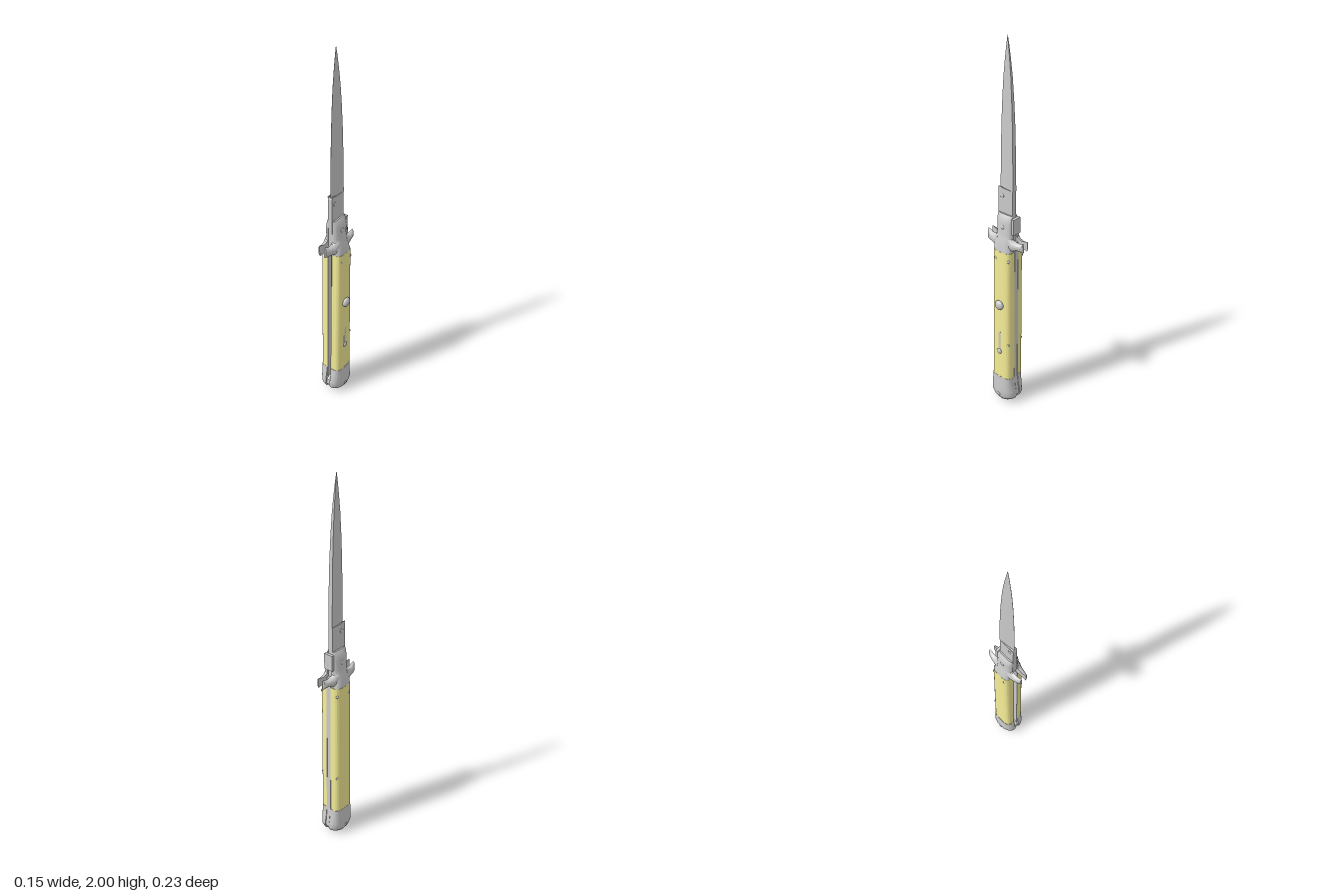
import * as THREE from 'three';
import { toCreasedNormals } from 'three/addons/utils/BufferGeometryUtils.js';

const STEEL = new THREE.MeshStandardMaterial({ color: 0xcccccc });
const IVORY = new THREE.MeshStandardMaterial({ color: 0xf7ef98 });
const GAP = 0.0135; // half width of the slot between the two handle halves

// Skin a list of closed rings and cap both ends
function loft(rings, flip, crease = 0.6) {
  const n = rings[0].length, last = (rings.length - 1) * n, index = [];
  const tri = (a, b, c) => (flip ? index.push(a, c, b) : index.push(a, b, c));
  for (let i = 0; i < rings.length - 1; i++) {
    for (let j = 0; j < n; j++) {
      const a = i * n + j, b = i * n + ((j + 1) % n);
      tri(a, b, b + n);
      tri(a, b + n, a + n);
    }
  }
  for (let j = 1; j < n - 1; j++) {
    tri(0, j + 1, j);
    tri(last, last + j, last + j + 1);
  }
  const geo = new THREE.BufferGeometry();
  geo.setAttribute('position', new THREE.Float32BufferAttribute(rings.flat(2), 3));
  geo.setIndex(index);
  return toCreasedNormals(geo, crease);
}

// D-shaped half body; stations are [along, high, low, width, roundness]
function halfBody(side, stations, alongZ = false) {
  const N = 20;
  const rings = stations.map(([a, hi, lo, w, p]) => {
    const ring = [];
    for (let j = 0; j <= N; j++) {
      const c = Math.cos((j / N) * Math.PI), s = Math.max(0, Math.sin((j / N) * Math.PI));
      const v = (hi + lo) / 2 + ((hi - lo) / 2) * Math.sign(c) * Math.abs(c) ** (2 / p);
      const x = side * (GAP + (w - GAP) * s ** (2 / p));
      ring.push(alongZ ? [x, v, a] : [x, a, v]);
    }
    return ring;
  });
  const descending = stations[1][0] < stations[0][0];
  return loft(rings, (side < 0) !== (alongZ !== descending));
}

// Flat plate from a (z, y) outline, centred on x
function plate(points, thickness, x = 0) {
  const shape = new THREE.Shape(points.map(([z, y]) => new THREE.Vector2(z, y)));
  const geo = new THREE.ExtrudeGeometry(shape, { depth: thickness, bevelEnabled: false });
  return geo.translate(0, 0, -thickness / 2).rotateY(-Math.PI / 2).translate(x, 0, 0);
}

export function createModel() {
  const model = new THREE.Group();
  const body = new THREE.Group();
  body.name = 'knife';
  body.position.x = -0.0055;
  model.add(body);
  const add = (name, geo, mat = STEEL) => {
    const mesh = new THREE.Mesh(geo, mat);
    mesh.name = name;
    body.add(mesh);
    return mesh;
  };
  // Domed pin whose head stands out along x
  const pin = (name, x, y, z, r, bulge = 0.4) => {
    const mesh = add(name, new THREE.SphereGeometry(r, 16, 10));
    mesh.position.set(x, y, z);
    mesh.scale.x = bulge;
    return mesh;
  };

  const scale = [
    [0.17, 0.063, -0.06, 0.061, 3.8],
    [0.56, 0.058, -0.059, 0.061, 3.8],
    [0.95, 0.052, -0.058, 0.059, 3.8],
  ];
  const pommel = [
    [0, 0.02, -0.02, 0.035, 2],
    [0.01, 0.045, -0.045, 0.05, 2],
    [0.03, 0.07, -0.07, 0.063, 2.1],
    [0.05, 0.08, -0.078, 0.0675, 2.2],
    [0.08, 0.078, -0.073, 0.067, 2.5],
    [0.12, 0.071, -0.066, 0.064, 3],
    [0.17, 0.064, -0.061, 0.062, 3.8],
  ];
  const bolster = [
    [0.945, 0.052, -0.057, 0.059, 3.6],
    [0.98, 0.053, -0.052, 0.056, 3],
    [1.02, 0.05, -0.05, 0.045, 2.5],
    [1.045, 0.048, -0.05, 0.039, 2.4],
    [1.1, 0.048, -0.05, 0.039, 2.4],
    [1.13, 0.047, -0.048, 0.031, 2.4],
    [1.143, 0.045, -0.045, 0.022, 2.4],
  ];
  const frontArm = [
    [0.03, 1.045, 0.95, 0.046, 2.2],
    [0.055, 1.018, 0.955, 0.041, 2.2],
    [0.08, 1.014, 0.966, 0.036, 2.2],
    [0.1, 1.024, 0.965, 0.03, 2.2],
    [0.11, 1.028, 0.966, 0.024, 2.2],
    [0.113, 1.022, 0.972, 0.017, 2.2],
  ];
  const backArm = [
    [-0.03, 1.045, 0.95, 0.046, 2.2],
    [-0.055, 1.015, 0.955, 0.041, 2.2],
    [-0.08, 1.008, 0.97, 0.036, 2.2],
    [-0.1, 1.012, 0.967, 0.03, 2.2],
    [-0.112, 1.016, 0.964, 0.024, 2.2],
    [-0.116, 1.01, 0.968, 0.017, 2.2],
  ];

  // Mirrored handle halves
  for (const s of [1, -1]) {
    add('handleScale', halfBody(s, scale), IVORY);
    add('pommel', halfBody(s, pommel));
    add('bolster', halfBody(s, bolster));
    add('frontGuard', halfBody(s, frontArm, true));
    add('backGuard', halfBody(s, backArm, true));
    add('liner', plate([[0.064, 0.1], [0.054, 0.96], [-0.059, 0.96], [-0.062, 0.1]], 0.004, s * 0.0118));
    pin('pommelPin', s * 0.067, 0.05, 0.005, 0.01);
    pin('bolsterPin', s * 0.038, 1.08, 0, 0.012);
    pin('scalePin', s * 0.057, 0.905, 0.028, 0.008);
    pin('scalePin', s * 0.05, 0.905, -0.048, 0.008, 0.8);
    pin('scalePin', s * 0.051, 0.395, -0.048, 0.008, 0.8);
    pin('bladeStud', s * 0.012, 1.232, 0.024, 0.011, 0.3);
    // Small nick below the cutting edge
    add('bladeNick', new THREE.BoxGeometry(0.003, 0.006, 0.026)).position.set(s * 0.012, 1.275, 0.034);
  }

  // Back spring joined to the pommel spacer
  add('backSpring', plate([
    [0, 0.005], [0.05, 0.025], [0.074, 0.05], [0.07, 0.08], [-0.01, 0.13], [-0.02, 0.25],
    [-0.02, 1.0], [-0.058, 1.0], [-0.06, 0.17], [-0.074, 0.05], [-0.05, 0.025],
  ], 0.022));
  add('bladeStop', new THREE.BoxGeometry(0.05, 0.085, 0.014)).position.set(0, 1.088, -0.053);

  // Blade: squared base, then a wedge that is thick along the back
  add('bladeBase', plate([
    [0.046, 0.99], [0.048, 1.265], [0.044, 1.272], [-0.042, 1.272], [-0.043, 0.99],
  ], 0.024));
  const blade = [
    [1.27, 0.044, 0.012], [1.45, 0.041, 0.0115], [1.6, 0.037, 0.01], [1.72, 0.031, 0.0085],
    [1.82, 0.024, 0.0065], [1.9, 0.015, 0.0045], [1.96, 0.007, 0.0025], [2, 0.0005, 0.0005],
  ].map(([y, h, t]) => [
    [0.0004, y, h], [t * 0.65, y, 0], [t, y, -h], [-t, y, -h], [-t * 0.65, y, 0], [-0.0004, y, h],
  ]);
  add('blade', loft(blade, false, 0.08));

  // Release button and sliding catch on one side
  add('buttonCollar', new THREE.CylinderGeometry(0.02, 0.02, 0.012, 24).rotateZ(Math.PI / 2)).position.set(0.06, 0.637, 0);
  pin('releaseButton', 0.0645, 0.637, 0, 0.026, 0.62);
  const track = add('catchTrack', new THREE.CapsuleGeometry(0.007, 0.115, 6, 12));
  track.position.set(0.06, 0.405, 0.003);
  track.scale.x = 0.4;
  pin('catchKnob', 0.062, 0.34, 0.003, 0.015, 0.5);

  return model;
}
